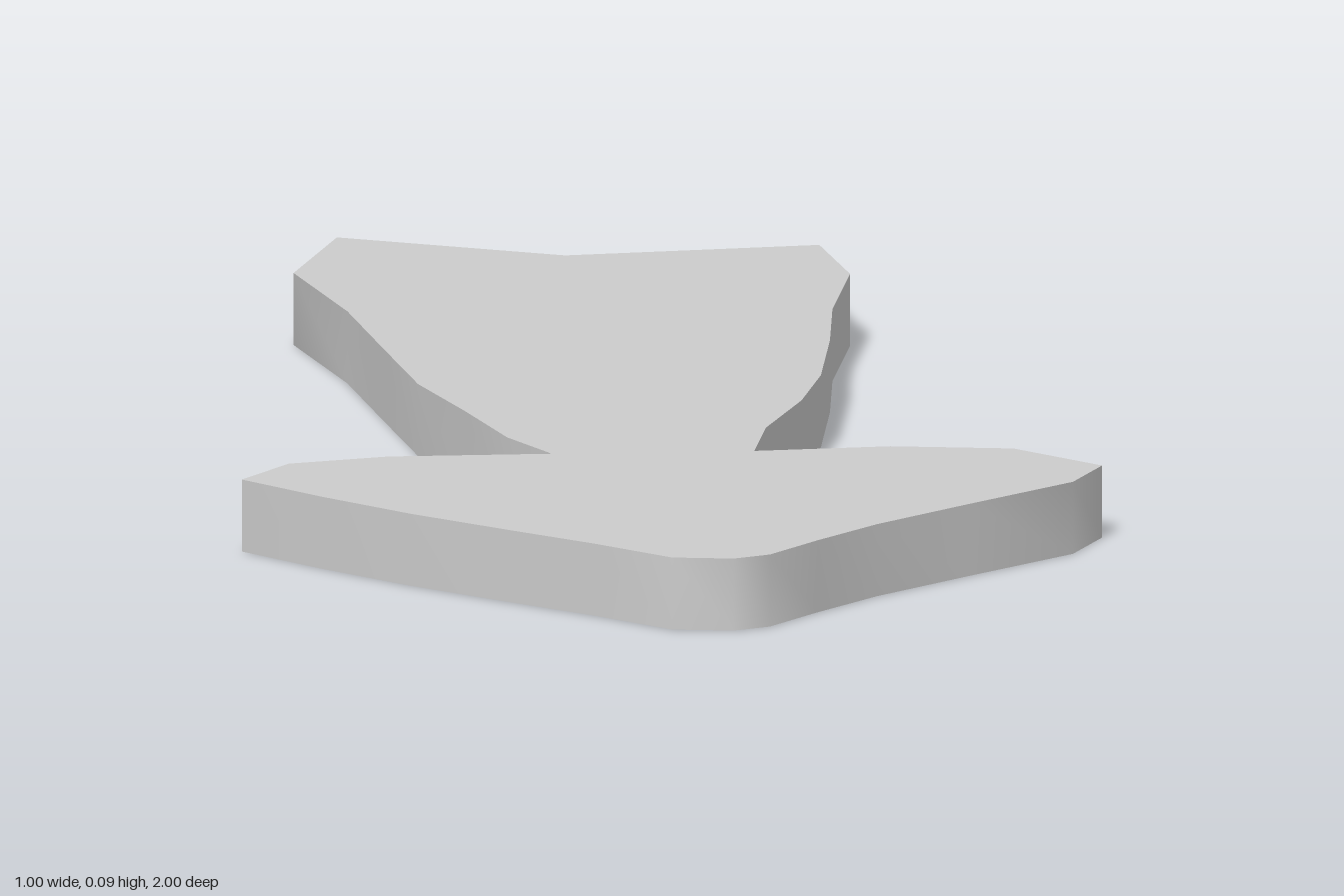
import * as THREE from 'three';
import { toCreasedNormals } from 'three/addons/utils/BufferGeometryUtils.js';

const THICKNESS = 0.085;

// Plan outline as [x, z], hand-cut and slightly uneven on the two sides
const tail = [[-0.295, -0.79], [-0.22, -1], [0.03, -0.86], [0.33, -0.89], [0.345, -0.71]];
const leftShaft = [[0.3, -0.5], [0.275, -0.31], [0.24, -0.1], [0.2, 0.05], [0.14, 0.21], [0.11, 0.35]];
const leftBarb = [[0.27, 0.34], [0.41, 0.37], [0.5, 0.485], [0.455, 0.58]];
const tip = [
  [0.32, 0.7], [0.2, 0.81], [0.12, 0.9], [0.055, 0.98], [0.01, 1],
  [-0.06, 0.985], [-0.14, 0.89], [-0.225, 0.8], [-0.33, 0.685],
];
const rightBarb = [[-0.42, 0.57], [-0.5, 0.455], [-0.435, 0.365], [-0.315, 0.335], [-0.125, 0.34]];
const rightShaft = [[-0.165, 0.235], [-0.195, 0.07], [-0.23, -0.1], [-0.245, -0.32], [-0.26, -0.55]];

export function createModel() {
  const group = new THREE.Group();
  group.name = 'arrowSign';

  // Flat plate extruded upward, with soft curves and crisp corners
  const outline = [...tail, ...leftShaft, ...leftBarb, ...tip, ...rightBarb, ...rightShaft];
  const shape = new THREE.Shape(outline.map(([x, z]) => new THREE.Vector2(x, -z)));
  const plate = new THREE.ExtrudeGeometry(shape, { depth: THICKNESS, bevelEnabled: false });
  plate.rotateX(-Math.PI / 2);

  const arrow = new THREE.Mesh(
    toCreasedNormals(plate, 1.1),
    new THREE.MeshStandardMaterial({ color: 0xcccccc })
  );
  arrow.name = 'arrowPlate';
  group.add(arrow);
  return group;
}
